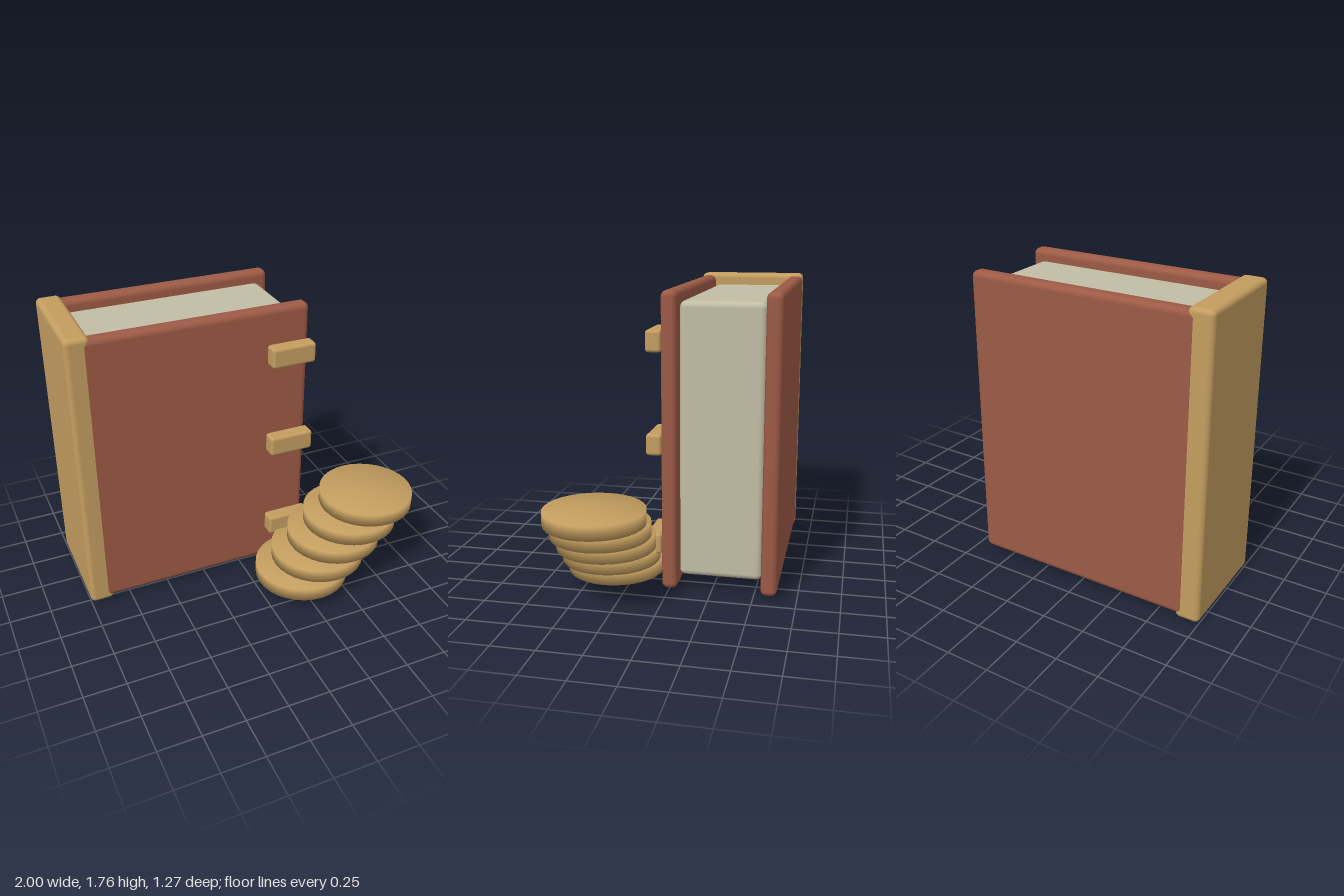
import * as THREE from 'three';
import { RoundedBoxGeometry } from 'three/addons/geometries/RoundedBoxGeometry.js';
import { mergeVertices } from 'three/addons/utils/BufferGeometryUtils.js';

const paint = (color) => new THREE.MeshStandardMaterial({ color });

export function createModel() {
  const group = new THREE.Group();
  const leather = paint(0x9c5a45), gold = paint(0xc39d5f), paper = paint(0xc2bda4);

  // Rounded block given by its extents along each axis
  const block = (name, [x0, x1], [y0, y1], [z0, z1], radius, material) => {
    const mesh = new THREE.Mesh(new RoundedBoxGeometry(x1 - x0, y1 - y0, z1 - z0, 3, radius), material);
    mesh.position.set((x0 + x1) / 2, (y0 + y1) / 2, (z0 + z1) / 2);
    mesh.name = name;
    group.add(mesh);
  };

  // Book: spine, page block and two covers
  block('spine', [-1, -0.856], [0, 1.765], [-0.635, 0.035], 0.03, gold);
  block('pages', [-0.89, 0.36], [0.085, 1.69], [-0.541, -0.057], 0.035, paper);
  block('frontCover', [-0.92, 0.43], [0.02, 1.75], [-0.056, 0.036], 0.035, leather);
  block('backCover', [-0.92, 0.43], [0.02, 1.75], [-0.636, -0.542], 0.035, leather);

  // Clasps on the front cover
  [0.3, 0.887, 1.473].forEach((y, i) =>
    block(`clasp${i + 1}`, [0.165, 0.44], [y - 0.062, y + 0.062], [0.03, 0.12], 0.018, gold));

  // Staggered stack of coins with softly shaded rims
  const disc = new THREE.CylinderGeometry(0.287, 0.287, 0.081, 32);
  disc.deleteAttribute('normal');
  disc.deleteAttribute('uv');
  const coinGeometry = mergeVertices(disc);
  coinGeometry.computeVertexNormals();
  for (let i = 0; i < 5; i++) {
    const coin = new THREE.Mesh(coinGeometry, gold);
    coin.name = `coin${i + 1}`;
    coin.position.set(0.282 + i * 0.1075, 0.116 + i * 0.1073, 0.343);
    group.add(coin);
  }
  return group;
}
